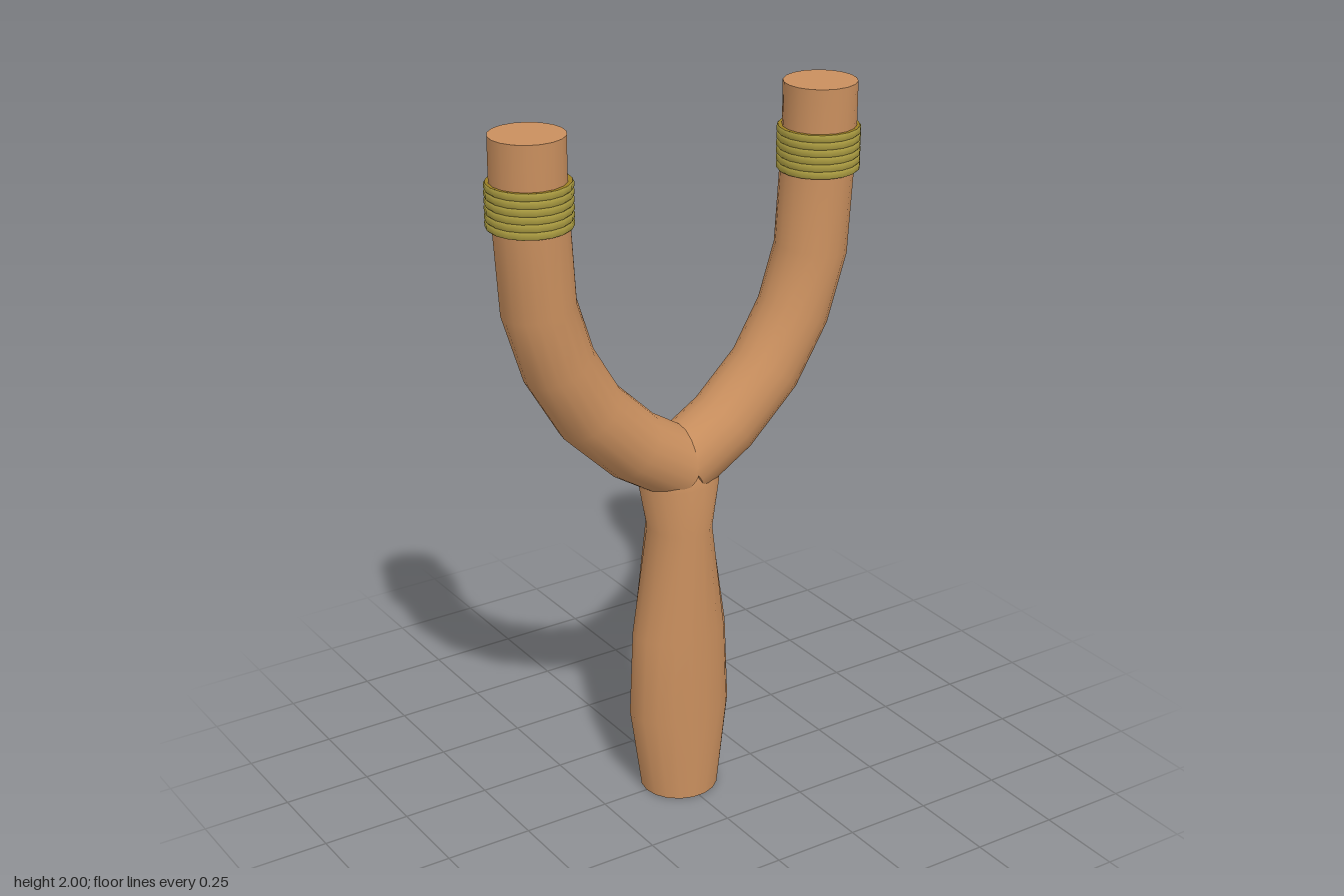
import * as THREE from 'three';

const SIDES = 18;

// Lofts elliptical rings along a path in the xy plane; each ring is [x, y, inPlaneRadius, zRadius]
function loft(rings) {
  const pos = [], index = [], last = rings.length - 1;
  const addRing = (i) => {
    const [x, y, rn, rz] = rings[i];
    const a = rings[Math.max(i - 1, 0)], b = rings[Math.min(i + 1, last)];
    const t = new THREE.Vector2(b[0] - a[0], b[1] - a[1]).normalize();
    const start = pos.length / 3;
    for (let k = 0; k < SIDES; k++) {
      const q = (k / SIDES) * Math.PI * 2, c = Math.cos(q) * rn;
      pos.push(x + t.y * c, y - t.x * c, Math.sin(q) * rz);
    }
    return start;
  };
  const starts = rings.map((_, i) => addRing(i));
  for (let i = 0; i < last; i++) {
    for (let k = 0; k < SIDES; k++) {
      const n = (k + 1) % SIDES, a = starts[i], b = starts[i + 1];
      index.push(a + k, b + k, a + n, b + k, b + n, a + n);
    }
  }
  // Flat end caps with their own vertices keep the rims sharp
  for (const i of [0, last]) {
    const s = addRing(i), centre = pos.length / 3;
    pos.push(rings[i][0], rings[i][1], 0);
    for (let k = 0; k < SIDES; k++) {
      const n = (k + 1) % SIDES;
      if (i === 0) index.push(centre, s + k, s + n);
      else index.push(centre, s + n, s + k);
    }
  }
  const geo = new THREE.BufferGeometry();
  geo.setAttribute('position', new THREE.Float32BufferAttribute(pos, 3));
  geo.setIndex(index);
  geo.computeVertexNormals();
  return geo;
}

export function createModel() {
  const model = new THREE.Group();
  model.name = 'slingshot';
  const wood = new THREE.MeshStandardMaterial({ name: 'wood', color: 0xc98f5e });
  const cord = new THREE.MeshStandardMaterial({ name: 'olive cord', color: 0xa99a40 });
  const cordRim = new THREE.MeshStandardMaterial({ name: 'golden cord rim', color: 0x9c7f24 });

  const add = (parent, name, geo, mat) => {
    const mesh = new THREE.Mesh(geo, mat);
    mesh.name = name;
    parent.add(mesh);
    return mesh;
  };

  // Grip: flattened, swelling near the bottom and waisted under the fork
  add(model, 'handle', loft([
    [0, 0, 0.11, 0.107], [0, 0.25, 0.15, 0.107], [0, 0.5, 0.139, 0.104],
    [0, 0.82, 0.088, 0.1], [0, 0.955, 0.117, 0.098], [0, 1.0, 0.09, 0.08],
  ]), wood);

  // Fork arms and their cord wrappings, mirrored left and right
  const path = [[0, 1.0], [0.145, 1.09], [0.28, 1.22], [0.37, 1.37],
    [0.425, 1.54], [0.441, 1.78], [0.446, 1.9], [0.446, 2]];
  for (const side of [1, -1]) {
    const label = side > 0 ? 'left' : 'right';
    add(model, label + 'Arm', loft(path.map(([x, y]) => [side * x, y, 0.1, 0.1])), wood);

    const wrap = new THREE.Group();
    wrap.name = label + 'CordWrap';
    wrap.position.set(side * 0.444, 1.76, 0);
    model.add(wrap);
    const turns = 6, h = 0.02;
    for (let i = 0; i < turns; i++) {
      const y = i * h;
      const profile = [[0.109, y], [0.113, y + 0.004], [0.113, y + h - 0.004], [0.109, y + h]]
        .map(([r, v]) => new THREE.Vector2(r, v));
      add(wrap, 'cordTurn', new THREE.LatheGeometry(profile, SIDES), cord);
    }
    // Flat rims closing the wrapping above and below
    for (const up of [true, false]) {
      const rim = add(wrap, up ? 'topRim' : 'bottomRim', new THREE.RingGeometry(0.09, 0.11, SIDES), cordRim);
      rim.rotation.x = up ? -Math.PI / 2 : Math.PI / 2;
      rim.position.y = up ? turns * h : 0;
    }
  }
  return model;
}
